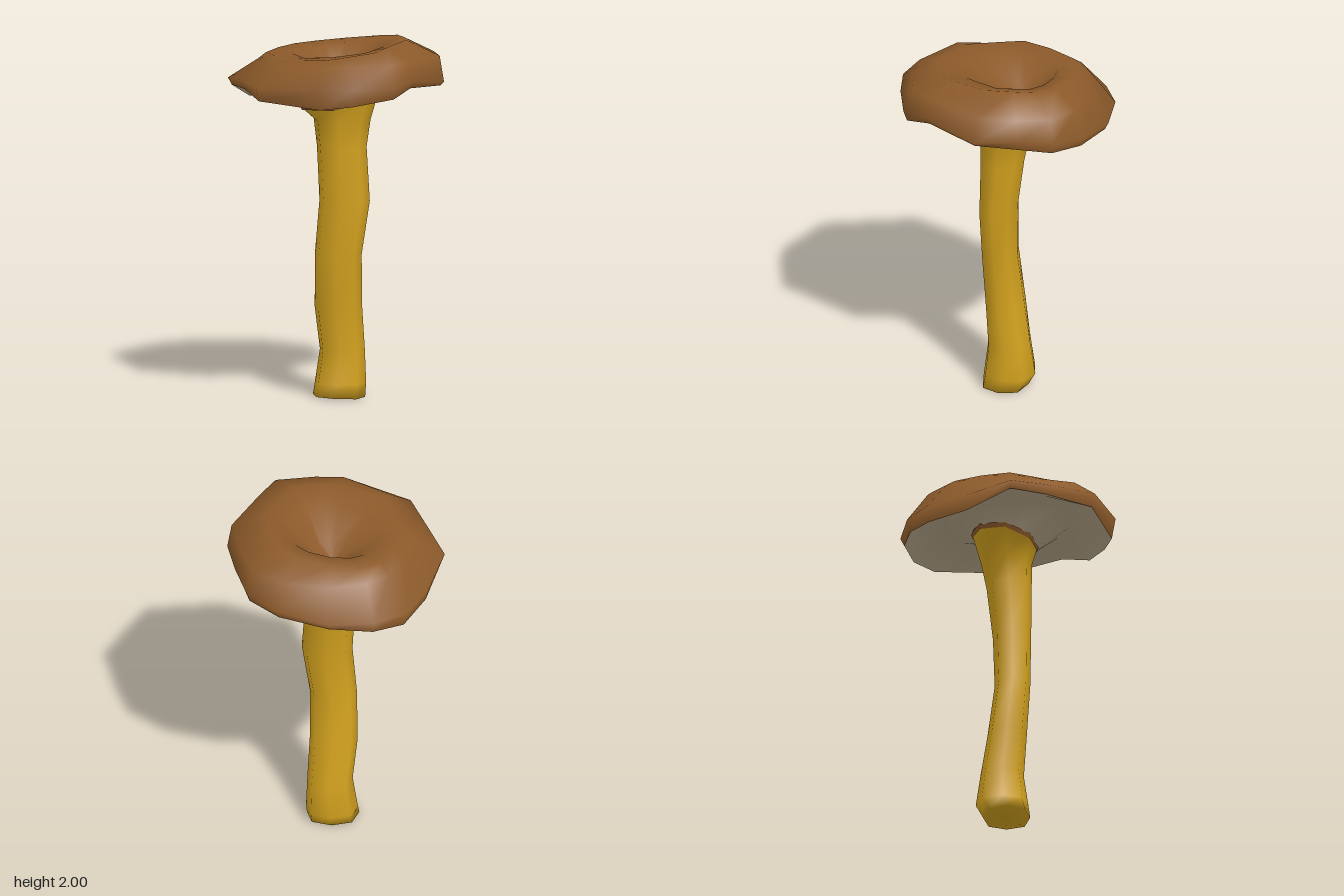
import * as THREE from 'three';

// Skin a list of closed rings (arrays of [x, y, z]) into a smooth surface
function loft(name, rings, material) {
  const n = rings[0].length;
  const index = [];
  for (let r = 0; r < rings.length - 1; r++) {
    for (let i = 0; i < n; i++) {
      const a = r * n + i, b = r * n + (i + 1) % n;
      index.push(a, a + n, b, b, a + n, b + n);
    }
  }
  const geometry = new THREE.BufferGeometry();
  geometry.setAttribute('position', new THREE.Float32BufferAttribute(rings.flat(2), 3));
  geometry.setIndex(index);
  geometry.computeVertexNormals();
  const mesh = new THREE.Mesh(geometry, material);
  mesh.name = name;
  return mesh;
}

// Irregular cap rim: x, z, height at the widest point, height of the lower lip
const RIM = [
  [0.6, 0, 1.77, 1.75], [0.47, 0.31, 1.82, 1.78], [0.395, 0.465, 1.80, 1.74],
  [0.17, 0.55, 1.80, 1.705], [-0.01, 0.59, 1.81, 1.69], [-0.38, 0.475, 1.79, 1.715],
  [-0.5, 0.21, 1.79, 1.74], [-0.6, 0.01, 1.77, 1.73], [-0.53, -0.235, 1.71, 1.63],
  [-0.42, -0.455, 1.69, 1.605], [-0.25, -0.56, 1.69, 1.62], [0, -0.595, 1.69, 1.65],
  [0.29, -0.54, 1.73, 1.68], [0.465, -0.42, 1.76, 1.70], [0.54, -0.23, 1.78, 1.73],
];
const RIM_ANGLES = RIM.map(([x, z]) => Math.atan2(z, x));
const STEM_ANGLES = Array.from({ length: 8 }, (_, i) => i * Math.PI / 4);

// Rim scaled towards (cx, cz), with a height rule
function rimRing(scale, height, cx = 0, cz = 0) {
  return RIM.map(([x, z, outer, lip]) => {
    const s = typeof scale === 'function' ? scale(x) : scale;
    const px = cx + x * s, pz = cz + z * s;
    return [px, height(px, pz, outer, lip), pz];
  });
}

// Slightly squared stem ring, with an optional tilt rule
function stemRing(y, cx, cz, rx, rz, tilt = () => 0, angles = STEM_ANGLES) {
  return angles.map((angle) => {
    const c = Math.cos(angle), s = Math.sin(angle);
    const corner = 1 + 0.08 * Math.sin(2 * angle) ** 2;
    return [cx + rx * c * corner, y + tilt(c, s), cz + rz * s * corner];
  });
}

export function createModel() {
  const brown = new THREE.MeshStandardMaterial({ color: 0x8c5a2a, side: THREE.DoubleSide });
  brown.name = 'cap brown';
  const beige = new THREE.MeshStandardMaterial({ color: 0xbba98c, side: THREE.DoubleSide });
  beige.name = 'gill beige';
  const yellow = new THREE.MeshStandardMaterial({ color: 0xd2a11e, side: THREE.DoubleSide });
  yellow.name = 'stem yellow';

  const group = new THREE.Group();
  group.name = 'mushroom';

  // Cap: lip, rim, shoulder, crest, then the hollow in the middle
  const lip = rimRing(0.965, (x, z, outer, low) => low);
  group.add(loft('cap', [
    lip,
    rimRing(1, (x, z, outer) => outer),
    rimRing((x) => 0.84 + 0.2 * x, (x, z) => 1.895 + 0.035 * x + 0.04 * z),
    rimRing(0.65, (x, z) => 1.957 + 0.11 * x - 0.12 * z * z),
    rimRing(0.43, (x) => 1.93 + 0.1 * x, 0.01, -0.03),
    rimRing(0.18, (x) => 1.825 + 0.05 * x, 0.01, -0.09),
    rimRing(0, () => 1.77, 0.01, -0.11),
  ], brown));

  // Underside: hollow, running down onto the flared stem top
  const tilt = (c, s) => 0.04 * c - 0.08 * Math.max(s, 0);
  group.add(loft('underside', [
    stemRing(1.72, 0.005, -0.02, 0.245, 0.18, tilt, RIM_ANGLES),
    rimRing(0.6, (x, z) => 1.79 + 0.05 * x + 0.03 * z),
    rimRing(0.82, (x, z, outer, low) => 0.5 * low + 0.91 + 0.03 * x),
    lip,
  ], beige));

  // Stem: gently bent, flared at the top
  group.add(loft('stem', [
    stemRing(0.005, 0.015, -0.01, 0, 0),
    stemRing(0.005, 0.015, -0.01, 0.145, 0.13, (c) => -0.005 * c),
    stemRing(0.08, 0.02, -0.035, 0.142, 0.145),
    stemRing(0.26, 0.03, -0.035, 0.125, 0.12),
    stemRing(0.5, 0.012, -0.007, 0.132, 0.108),
    stemRing(0.8, 0.015, 0.022, 0.13, 0.098),
    stemRing(1.1, 0.05, 0.02, 0.14, 0.105),
    stemRing(1.4, 0.032, 0.004, 0.138, 0.124),
    stemRing(1.55, 0.032, -0.01, 0.158, 0.14),
    stemRing(1.72, 0.005, -0.02, 0.245, 0.18, tilt),
  ], yellow));

  // Thin brown edge where the stem meets the cap
  group.add(loft('stemCollar', [
    stemRing(1.70, 0.008, -0.02, 0.238, 0.18, tilt),
    stemRing(1.725, 0.005, -0.02, 0.25, 0.185, tilt),
  ], brown));

  return group;
}
